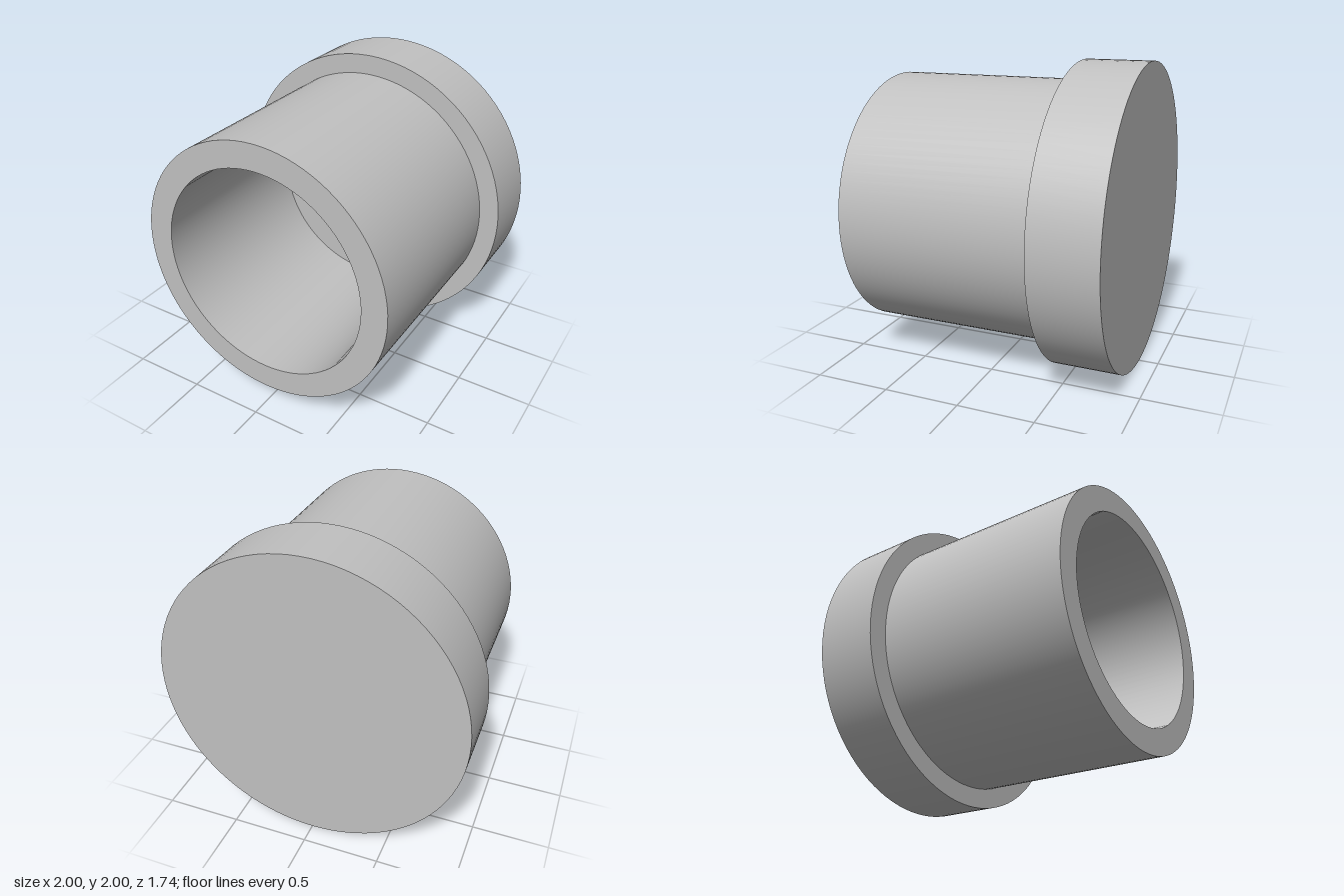
import * as THREE from 'three';
import { toCreasedNormals } from 'three/addons/utils/BufferGeometryUtils.js';

const SEGMENTS = 96;
const BACK = -0.87, STEP = -0.435, FRONT = 0.87;

export function createModel() {
  const group = new THREE.Group();
  group.name = 'flangedCap';
  const grey = new THREE.MeshStandardMaterial({ color: 0xc0c0c0 });
  grey.name = 'lightGrey';

  // Parts are turned about y, then laid along z and raised onto the ground
  const add = (name, geometry) => {
    geometry.rotateX(Math.PI / 2).translate(0, 1, 0);
    const mesh = new THREE.Mesh(geometry, grey);
    mesh.name = name;
    group.add(mesh);
  };

  // Solid disc closing the back; its front face is also the bore floor
  const flange = new THREE.CylinderGeometry(1, 1, STEP - BACK, SEGMENTS);
  flange.translate(0, (BACK + STEP) / 2, 0);
  add('flange', flange);

  // Hollow sleeve: outer wall, front rim, bore wall
  const profile = [[0.87, STEP], [0.87, FRONT], [0.7, FRONT], [0.7, STEP]]
    .map(([r, y]) => new THREE.Vector2(r, y));
  add('sleeve', toCreasedNormals(new THREE.LatheGeometry(profile, SEGMENTS), Math.PI / 6));

  return group;
}
